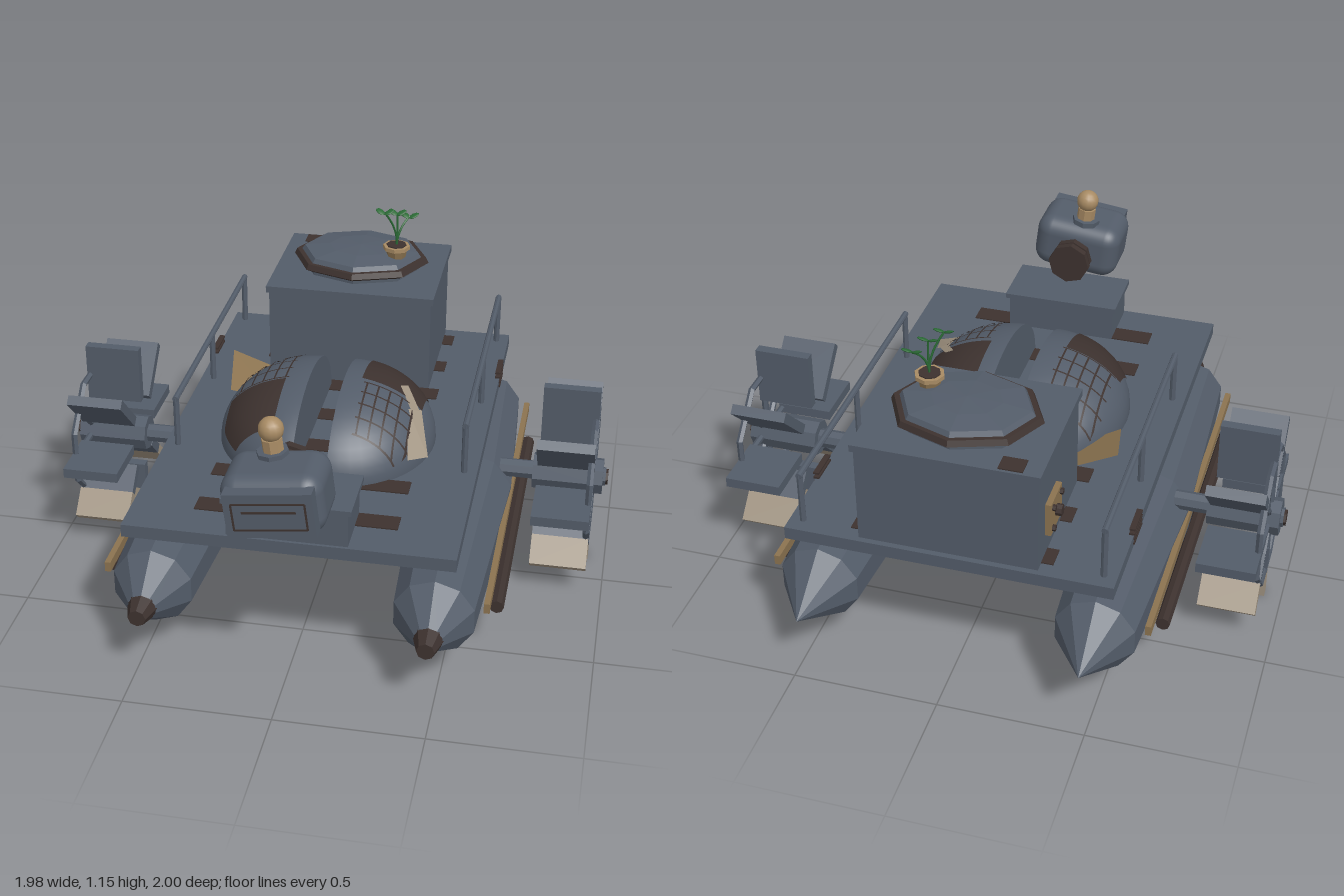
import * as THREE from 'three';
import { RoundedBoxGeometry } from 'three/addons/geometries/RoundedBoxGeometry.js';

const paint = (name, color) => Object.assign(new THREE.MeshStandardMaterial({ color, side: THREE.DoubleSide }), { name });

export function createModel() {
  const slate = paint('slate', 0x535c69), brown = paint('rustBrown', 0x3d322f), black = paint('underside', 0x1f1b18);
  const tan = paint('brass', 0x8b7350), pale = paint('driedMud', 0x9d907e), knob = paint('knobTan', 0xa88b64);
  const green = paint('leafGreen', 0x2a6a35);
  const model = new THREE.Group();

  // helpers
  const add = (name, geo, mat, x = 0, y = 0, z = 0, parent = model) => {
    const m = new THREE.Mesh(geo, mat);
    m.name = name;
    m.position.set(x, y, z);
    parent.add(m);
    return m;
  };
  const flat = (g) => {
    const f = g.index ? g.toNonIndexed() : g;
    f.computeVertexNormals();
    return f;
  };
  // box given by its limits
  const box = (name, mat, x0, x1, y0, y1, z0, z1, parent = model) =>
    add(name, new THREE.BoxGeometry(x1 - x0, y1 - y0, z1 - z0), mat, (x0 + x1) / 2, (y0 + y1) / 2, (z0 + z1) / 2, parent);
  const cyl = (r, len, axis = 'y', sides = 8, r2 = r) => {
    const g = new THREE.CylinderGeometry(r2, r, len, sides);
    if (axis === 'x') g.rotateZ(-Math.PI / 2);
    if (axis === 'z') g.rotateX(Math.PI / 2);
    return flat(g);
  };
  const lathe = (pts, sides) => flat(new THREE.LatheGeometry(pts.map((p) => new THREE.Vector2(p[0], p[1])), sides));
  const plate = (name, mat, corners) => {
    const g = new THREE.BufferGeometry().setFromPoints(corners.map((c) => new THREE.Vector3(...c)));
    g.setIndex([0, 1, 2, 0, 2, 3]);
    return add(name, flat(g), mat);
  };

  // deck with its under frame, dark hold panels and plank gaps
  box('deck', slate, -0.55, 0.55, 0.475, 0.52, -0.87, 0.75);
  box('underFrame', slate, -0.4, 0.4, 0.45, 0.476, -0.8, 0.71);
  for (const [z0, z1] of [[-0.72, -0.34], [-0.27, 0.16], [0.23, 0.64]]) {
    box('holdPanel', black, -0.34, 0.34, 0.446, 0.451, z0, z1);
  }
  for (let i = 0; i < 7; i++) {
    const z = -0.775 + i * 0.225;
    box('deckStrip', brown, -0.34, 0.34, 0.519, 0.524, z - 0.038, z + 0.038);
  }

  // crossbeams joining the floats
  for (const z of [-0.55, -0.1, 0.42]) add('crossbeam', cyl(0.034, 0.86, 'x'), slate, 0, 0.345, z);

  // both sides: floats, railings, vents and paddle wheels
  for (const s of [-1, 1]) {
    const side = new THREE.Group();
    side.name = s > 0 ? 'leftSide' : 'rightSide';
    model.add(side);

    const hull = lathe([[0, -1], [0.14, -0.79], [0.18, -0.1], [0.14, 0.68], [0.048, 0.81]], 10);
    hull.rotateX(Math.PI / 2);
    add('float', hull, slate, s * 0.475, 0.243, 0, side);
    add('floatNose', cyl(0.052, 0.075, 'z', 8, 0.03), brown, s * 0.475, 0.243, 0.835, side);
    box('floatMount', slate, s * 0.475 - 0.042, s * 0.475 + 0.042, 0.36, 0.476, -0.2, 0.2, side);
    box('hullStripe', tan, s * 0.643 - 0.01, s * 0.643 + 0.01, 0.252, 0.288, -0.755, 0.64, side);
    add('hullPipe', cyl(0.024, 1.13, 'z'), brown, s * 0.665, 0.19, -0.055, side);

    // railing
    for (const z of [0.205, -0.3, -0.815]) add('railPost', cyl(0.011, 0.19), slate, s * 0.505, 0.61, z, side);
    add('handrail', cyl(0.011, 1.04, 'z'), slate, s * 0.505, 0.702, -0.305, side);

    // deck edge vent
    for (let i = 0; i < 4; i++) {
      const y = 0.487 + i * 0.018;
      box('ventSlat', brown, s * 0.545 - 0.01, s * 0.545 + 0.01, y, y + 0.007, -0.6, -0.49, side);
    }

    // paddle wheel
    const wheel = new THREE.Group();
    wheel.name = 'paddleWheel';
    wheel.position.set(0, 0.348, -0.145);
    side.add(wheel);
    add('axle', cyl(0.034, 0.38, 'x'), slate, s * 0.79, 0, 0, wheel);
    add('hub', cyl(0.066, 0.25, 'x'), slate, s * 0.845, 0, 0, wheel);
    add('axleBolt', cyl(0.028, 0.02, 'x', 6), brown, s * 0.978, 0, 0, wheel);
    const rim = new THREE.TorusGeometry(0.25, 0.012, 5, 8);
    rim.rotateZ(Math.PI / 8);
    rim.rotateY(Math.PI / 2);
    add('wheelRim', flat(rim), slate, s * 0.93, 0, 0, wheel);
    for (let i = 0; i < 8; i++) {
      const arm = new THREE.Group();
      arm.name = 'paddleArm';
      arm.rotation.x = (i * Math.PI) / 4;
      wheel.add(arm);
      add('spoke', cyl(0.012, 0.24, 'y', 6), slate, s * 0.93, 0.13, 0, arm);
      const muddy = i >= 3 && i <= 5;
      const mid = muddy ? 0.24 : 0.348;
      box('paddle', slate, s * 0.84 - 0.1, s * 0.84 + 0.1, 0.135, mid, -0.018, 0.018, arm);
      if (muddy) box('muddyPaddleEnd', pale, s * 0.84 - 0.1, s * 0.84 + 0.1, mid, 0.348, -0.018, 0.018, arm);
    }
  }

  // split dome: two half shells with a slot between
  const rx = 0.32, rz = 0.365, h = 0.24, slot = 0.06, domeY = 0.52, domeZ = 0.03;
  const domePatch = (name, mat, s, x0, x1, z0, z1, lift = 1.012) => {
    const g = new THREE.PlaneGeometry(1, 1, 10, 10).rotateX(-Math.PI / 2);
    const p = g.attributes.position;
    for (let i = 0; i < p.count; i++) {
      const z = (z0 + (p.getZ(i) + 0.5) * (z1 - z0)) / rz;
      const x = Math.min((x0 + (p.getX(i) + 0.5) * (x1 - x0)) / rx, 0.96 * Math.sqrt(1 - z * z));
      const y = Math.sqrt(Math.max(0, 1 - x * x - z * z));
      p.setXYZ(i, x * rx * lift, y * h * lift, z * rz * lift);
    }
    g.computeVertexNormals();
    const m = add(name, g, mat, s * slot, domeY, domeZ);
    m.scale.x = s;
  };
  for (const s of [-1, 1]) {
    const shell = new THREE.SphereGeometry(1, 24, 12, s > 0 ? Math.PI / 2 : -Math.PI / 2, Math.PI, 0, Math.PI / 2);
    shell.scale(rx, h, rz);
    add('domeHalf', shell, slate, s * slot, domeY, domeZ);
    const wall = new THREE.CircleGeometry(1, 24, 0, Math.PI);
    wall.scale(rz, h, 1);
    wall.rotateY((-s * Math.PI) / 2);
    add('domeSlotWall', wall, slate, s * slot, domeY, domeZ);
  }
  domePatch('domeRustLeft', brown, 1, 0.06, 0.27, -0.25, 0.01);
  domePatch('domeRustRight', brown, -1, 0.08, 0.275, 0.05, 0.265);
  // wire mesh on the shells
  for (const [s, z0, z1] of [[1, 0.03, 0.26], [-1, -0.23, 0.04]]) {
    for (let i = 0; i < 5; i++) {
      const x = 0.08 + i * 0.04, z = z0 + ((z1 - z0) * i) / 4;
      domePatch('meshWire', brown, s, x, x + 0.006, z0, z1, 1.015);
      domePatch('meshWire', brown, s, 0.07, 0.26, z, z + 0.006, 1.015);
    }
  }
  // loose boards leaning on the dome
  plate('looseBoardRight', tan, [[-0.43, 0.63, -0.33], [-0.39, 0.58, -0.11], [-0.25, 0.53, -0.17], [-0.27, 0.56, -0.35]]);
  plate('looseBoardLeft', pale, [[0.29, 0.68, 0.09], [0.335, 0.67, 0.07], [0.385, 0.59, 0.25], [0.32, 0.59, 0.285]]);
  plate('looseBoardNeck', pale, [[0.25, 0.72, 0.0], [0.275, 0.715, -0.015], [0.33, 0.67, 0.08], [0.3, 0.68, 0.09]]);

  // rear cabin
  box('cabin', slate, -0.3, 0.3, 0.52, 0.87, -0.85, -0.365);
  box('cabinRoof', slate, -0.31, 0.31, 0.865, 0.89, -0.86, -0.355);
  box('roofRust', brown, -0.25, -0.17, 0.889, 0.894, -0.85, -0.785);
  add('lidSeat', cyl(0.22, 0.03), slate, 0, 0.9, -0.615).scale.z = 0.82;
  add('lidRim', lathe([[0, 0.905], [0.23, 0.905], [0.255, 0.918], [0.245, 0.938], [0, 0.938]], 8), brown, 0, 0, -0.615).scale.z = 0.82;
  add('lid', lathe([[0.228, 0.935], [0.215, 0.955], [0.12, 0.968], [0, 0.973]], 8), slate, 0, 0, -0.615).scale.z = 0.82;
  // riveted hatch on the cabin side
  box('sideHatch', tan, -0.32, -0.3, 0.6, 0.72, -0.77, -0.64);
  for (const y of [0.62, 0.7]) for (const z of [-0.75, -0.66]) add('rivet', cyl(0.011, 0.012, 'x', 6), brown, -0.325, y, z);
  add('hatchHandle', cyl(0.02, 0.025, 'x'), brown, -0.328, 0.66, -0.705);

  // pot and sprout
  add('pot', cyl(0.033, 0.05, 'y', 8, 0.042), tan, 0.14, 0.975, -0.565);
  add('potRim', cyl(0.05, 0.014), knob, 0.14, 0.995, -0.565);
  add('soil', cyl(0.037, 0.006), brown, 0.14, 1.003, -0.565);
  for (const [x, y, z] of [[0.1, 1.14, -0.53], [0.14, 1.125, -0.57], [0.18, 1.1, -0.61]]) {
    const path = new THREE.QuadraticBezierCurve3(
      new THREE.Vector3(0.14, 1, -0.565), new THREE.Vector3(0.145, 1.07, -0.565), new THREE.Vector3(x, y, z));
    add('stem', new THREE.TubeGeometry(path, 8, 0.004, 5), green);
    for (const a of [-1, 1]) {
      const leaf = add('leaf', new THREE.SphereGeometry(0.019, 8, 5), green, x + a * 0.016, y + 0.004, z);
      leaf.scale.set(1.1, 0.22, 0.7);
      leaf.rotation.set(0.2, a * 0.5, a * 0.3);
    }
  }

  // bow pedestal
  box('pedestal', slate, -0.2, 0.2, 0.52, 0.645, 0.535, 0.74);
  box('pedestalTop', slate, -0.213, 0.213, 0.642, 0.66, 0.522, 0.752);

  // tilted head
  const head = new THREE.Group();
  head.name = 'head';
  head.position.set(0, 0.768, 0.845);
  head.rotation.z = 0.12;
  model.add(head);
  add('headShell', new RoundedBoxGeometry(0.325, 0.205, 0.24, 5, 0.06), slate, 0, 0, 0, head);
  box('visor', slate, -0.135, 0.145, -0.073, 0.078, 0.1, 0.152, head);
  for (const y of [-0.045, 0.045]) box('visorLine', brown, -0.11, 0.12, y - 0.003, y + 0.003, 0.15, 0.155, head);
  for (const x of [-0.11, 0.12]) box('visorLine', brown, x - 0.003, x + 0.003, -0.045, 0.045, 0.15, 0.155, head);
  box('visorSlit', brown, -0.08, 0.09, 0.012, 0.02, 0.15, 0.155, head);
  for (const [r, z] of [[0.06, -0.125], [0.075, -0.15], [0.058, -0.17], [0.078, -0.189]]) {
    add('neckRing', cyl(r, 0.026, 'z'), brown, 0, -0.013, z, head);
  }
  add('knobCollar', cyl(0.052, 0.02), slate, -0.015, 0.108, -0.055, head);
  add('knobStem', cyl(0.034, 0.05), knob, -0.012, 0.135, -0.055, head);
  add('knob', new THREE.SphereGeometry(0.041, 14, 10), knob, -0.01, 0.19, -0.055, head);

  return model;
}
